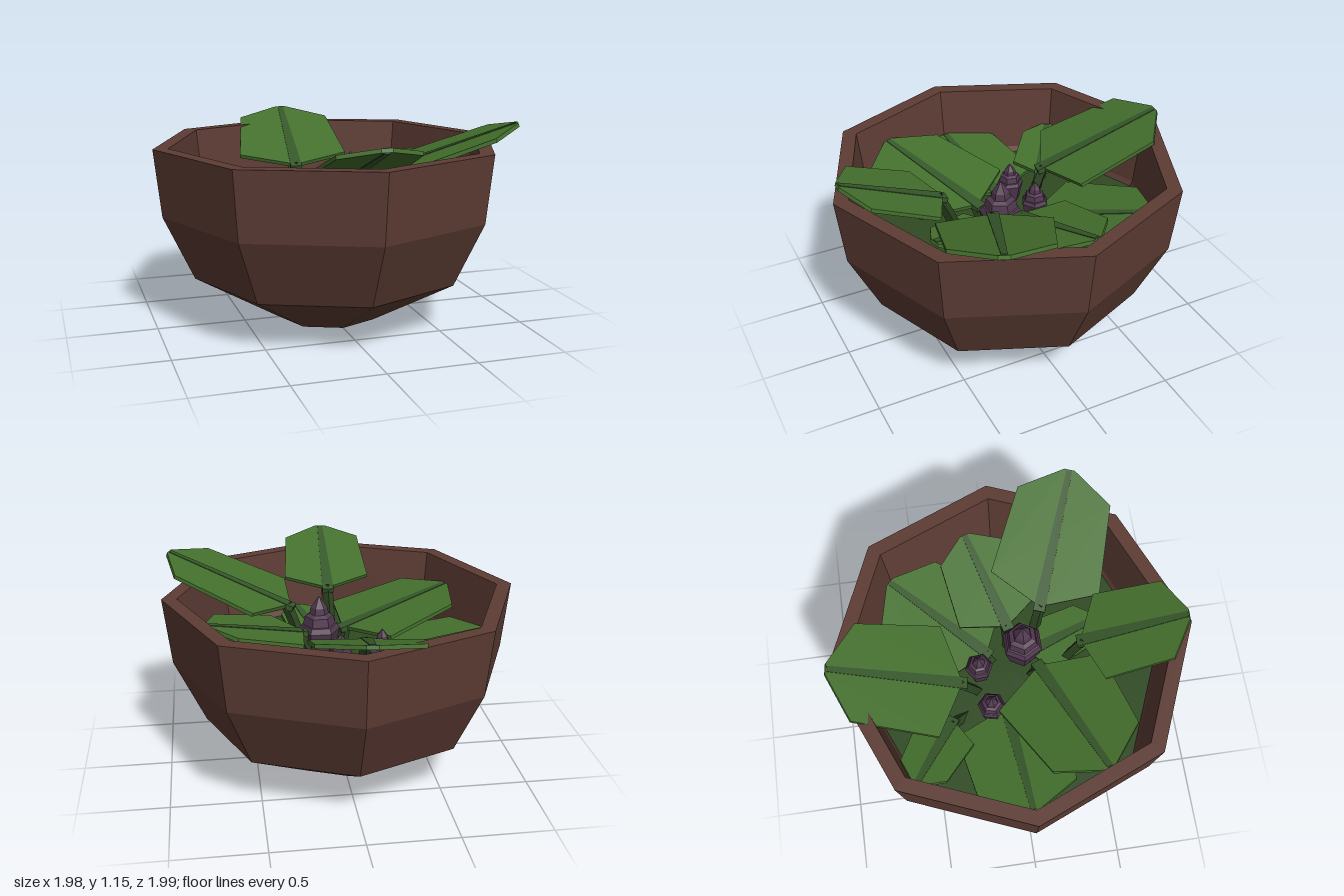
import * as THREE from 'three';

const mat = (color) => new THREE.MeshStandardMaterial({ color, flatShading: true, side: THREE.DoubleSide });
const V = (p) => new THREE.Vector3(...p);
const pts = (list) => list.map(([x, y]) => new THREE.Vector2(x, y));

function slab(outline, depth) {
  const g = new THREE.ExtrudeGeometry(new THREE.Shape(pts(outline)), { depth, bevelEnabled: false });
  return g.translate(0, 0, -depth / 2);
}

export function createModel() {
  const root = new THREE.Group();
  const clay = mat(0x5d3c34), green = mat(0x44702d), ribGreen = mat(0x36572a);
  const stemGreen = mat(0x2a421f), soilGreen = mat(0x2f4a22), purple = mat(0x51384f);
  const add = (parent, name, geo, material) => {
    const m = new THREE.Mesh(geo, material);
    m.name = name;
    parent.add(m);
    return m;
  };

  // Eight-sided bowl: outer wall, rim, inner wall
  add(root, 'bowl', new THREE.LatheGeometry(pts([
    [0, 0], [0.295, 0], [0.78, 0.275], [0.95, 0.64], [0.99, 1.02],
    [0.905, 1.02], [0.86, 0.64], [0.7, 0.33], [0, 0.1],
  ]), 8), clay);

  // Ground cover filling the bowl
  add(root, 'groundCover', new THREE.CylinderGeometry(0.855, 0.83, 0.04, 8).translate(0, 0.59, 0), soilGreen);

  // Leaf: base point, tip point, half width near the base, half width near the tip
  function addLeaf(name, base, tip, w1, w2) {
    const group = new THREE.Group();
    group.name = name;
    root.add(group);
    const a = V(base), dir = V(tip).sub(a), L = dir.length();
    dir.normalize();
    const side = new THREE.Vector3().crossVectors(dir, new THREE.Vector3(0, 1, 0)).normalize();
    const normal = new THREE.Vector3().crossVectors(side, dir);
    const frame = new THREE.Matrix4().makeBasis(side, dir, normal).setPosition(a);

    const half = [[0.04, 0.03 * L], [w1, 0.18 * L], [w2, 0.81 * L], [0.03, L]];
    const mirrored = half.map(([x, y]) => [-x, y]).reverse();
    add(group, 'blade', slab([...half, ...mirrored], 0.022).applyMatrix4(frame), green);
    add(group, 'rib', slab([[0.034, -0.02], [0.016, L * 0.99], [-0.016, L * 0.99], [-0.034, -0.02]], 0.03)
      .applyMatrix4(frame), ribGreen);

    // Stalk rising from the ground cover to the blade
    const foot = new THREE.Vector3(base[0] * 0.7, 0.57, base[2] * 0.7);
    const bend = new THREE.Vector3(base[0] * 0.93, base[1] - 0.08, base[2] * 0.93);
    const top = a.clone().addScaledVector(dir, 0.03);
    add(group, 'stalk', new THREE.TubeGeometry(new THREE.QuadraticBezierCurve3(foot, bend, top), 4, 0.032, 4), stemGreen);
  }

  // Tall leaves reaching over the rim
  addLeaf('frontLeaf', [0.02, 0.9, 0.39], [0, 1.12, 0.96], 0.25, 0.225);
  addLeaf('frontLeftLeaf', [0.26, 0.87, 0.2], [0.95, 1.14, 0.47], 0.31, 0.265);
  addLeaf('backLeaf', [-0.11, 0.83, -0.28], [-0.02, 1.09, -0.99], 0.32, 0.275);
  // Lower leaves inside the bowl
  addLeaf('frontRightLeaf', [-0.03, 0.74, 0.15], [-0.71, 0.88, 0.43], 0.33, 0.27);
  addLeaf('leftLeaf', [0.21, 0.78, 0.01], [0.75, 0.91, -0.16], 0.25, 0.2);
  addLeaf('backLeftLeaf', [0.1, 0.68, -0.12], [0.56, 0.82, -0.62], 0.34, 0.26);
  addLeaf('rightLeaf', [-0.22, 0.65, -0.06], [-0.85, 0.74, 0], 0.31, 0.27);
  addLeaf('backRightLeaf', [-0.27, 0.68, -0.37], [-0.62, 0.78, -0.6], 0.17, 0.14);
  addLeaf('smallFrontLeaf', [0.08, 0.68, 0.12], [0.2, 0.75, 0.52], 0.16, 0.13);

  // Layered six-sided buds: x, z, radius, top height
  [[0.11, 0.08, 0.12, 0.97], [-0.22, -0.14, 0.08, 0.84], [0.02, -0.18, 0.08, 0.84]].forEach(([x, z, r, top], i) => {
    const h = top - 0.6;
    const profile = [[0.7, 0], [0.78, 0.12], [1, 0.46], [0.86, 0.54], [0.78, 0.55], [0.68, 0.68], [0.46, 0.72], [0.4, 0.82], [0, 1]];
    const bud = add(root, 'bud' + (i + 1), new THREE.LatheGeometry(pts(profile.map(([a, b]) => [a * r, b * h])), 6), purple);
    bud.position.set(x, 0.6, z);
    bud.rotation.y = Math.PI / 6 + i * 0.3;
  });

  return root;
}
